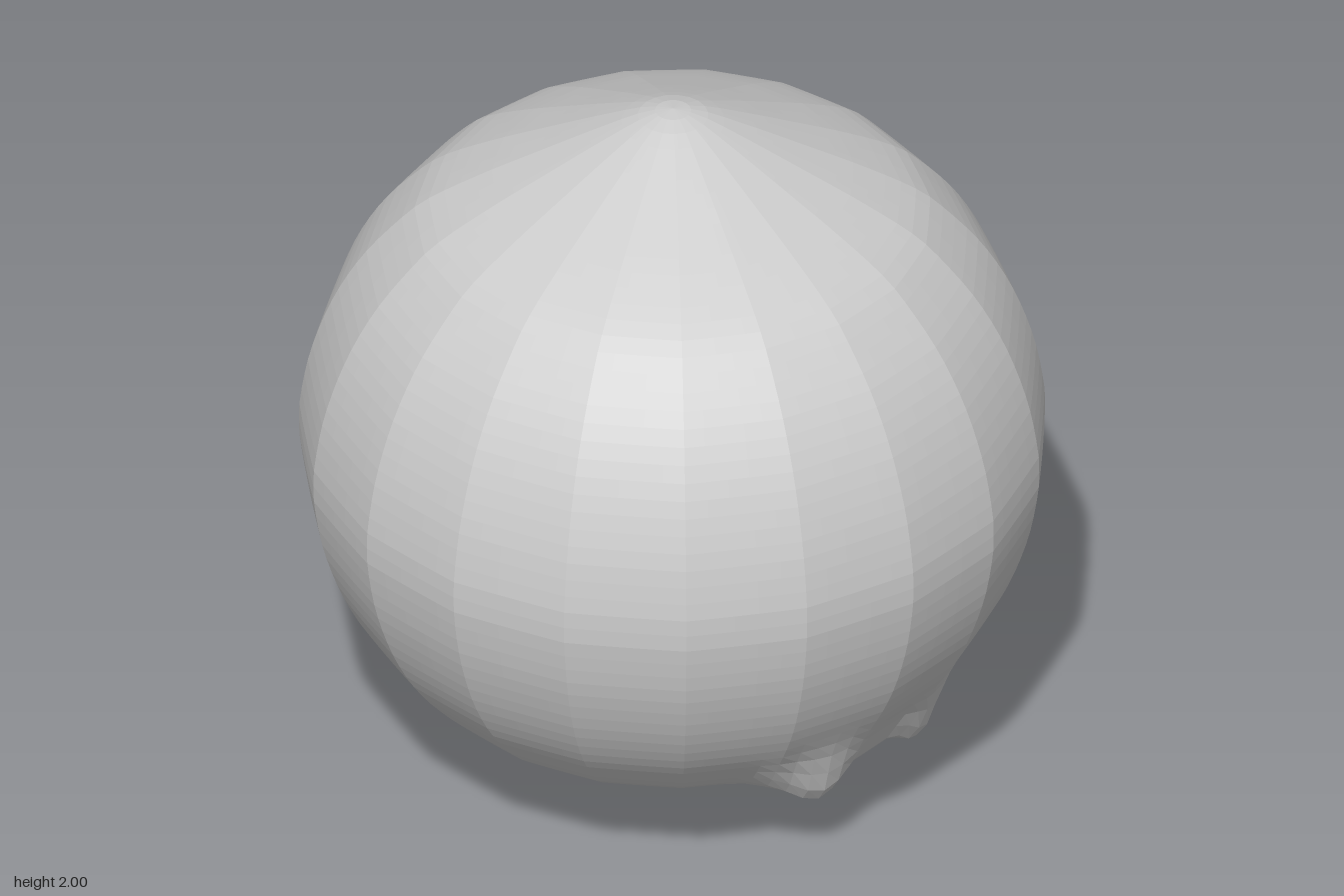
import * as THREE from 'three';

const SIDES = 19;
const SUB = 5;

export function createModel() {
  const group = new THREE.Group();
  group.name = 'pointedBall';

  // Lower half of the profile, mirrored to make the upper half
  const lower = [[0, 0], [0.075, 0.013], [0.2, 0.07], [0.35, 0.145], [0.5, 0.222], [0.64, 0.305],
    [0.72, 0.38], [0.81, 0.49], [0.885, 0.625], [0.94, 0.78], [0.967, 0.92]];
  const half = lower.map(([r, y]) => new THREE.Vector2(r, y));
  const mirrored = half.map((p) => new THREE.Vector2(p.x, 2 - p.y)).reverse();
  const profile = new THREE.SplineCurve([...half, new THREE.Vector2(0.972, 1), ...mirrored]).getSpacedPoints(64);
  profile.forEach((p) => { p.x = Math.max(p.x, 0); });
  profile[0].x = profile[64].x = 0;

  const geometry = new THREE.LatheGeometry(profile, SIDES * SUB, Math.PI);
  const pos = geometry.attributes.position;
  const v = new THREE.Vector3();
  const feet = [-1, 1].map((s) => new THREE.Vector3(0.2 * s, 0.33, 0.65));
  const step = (2 * Math.PI) / SIDES;

  for (let i = 0; i < pos.count; i++) {
    v.fromBufferAttribute(pos, i);

    // Flatten the round section into soft vertical facets
    const angle = Math.atan2(v.x, v.z) + Math.PI;
    const a = angle - step * (Math.floor(angle / step + 1e-6) + 0.5);
    const chord = Math.cos(step / 2) / Math.cos(a);
    const k = 1 - 0.85 * (1 - chord);
    v.x *= k;
    v.z *= k;

    // Pull two small feet out of the lower front, joined by a low ridge
    let w = 0;
    for (const f of feet) w = Math.max(w, Math.exp(-v.distanceToSquared(f) / 0.012));
    const dx = Math.max(Math.abs(v.x) - 0.2, 0);
    const ridge = 0.45 * Math.exp(-(dx * dx + (v.y - 0.3) ** 2 + (v.z - 0.62) ** 2) / 0.014);
    w = Math.max(w, ridge);
    v.y -= 0.1 * w;
    v.z += 0.03 * w;
    pos.setXYZ(i, v.x, v.y, v.z);
  }
  geometry.computeVertexNormals();

  const body = new THREE.Mesh(geometry, new THREE.MeshStandardMaterial({ color: 0xcccccc, flatShading: true }));
  body.name = 'bodyWithFeet';
  group.add(body);
  return group;
}
